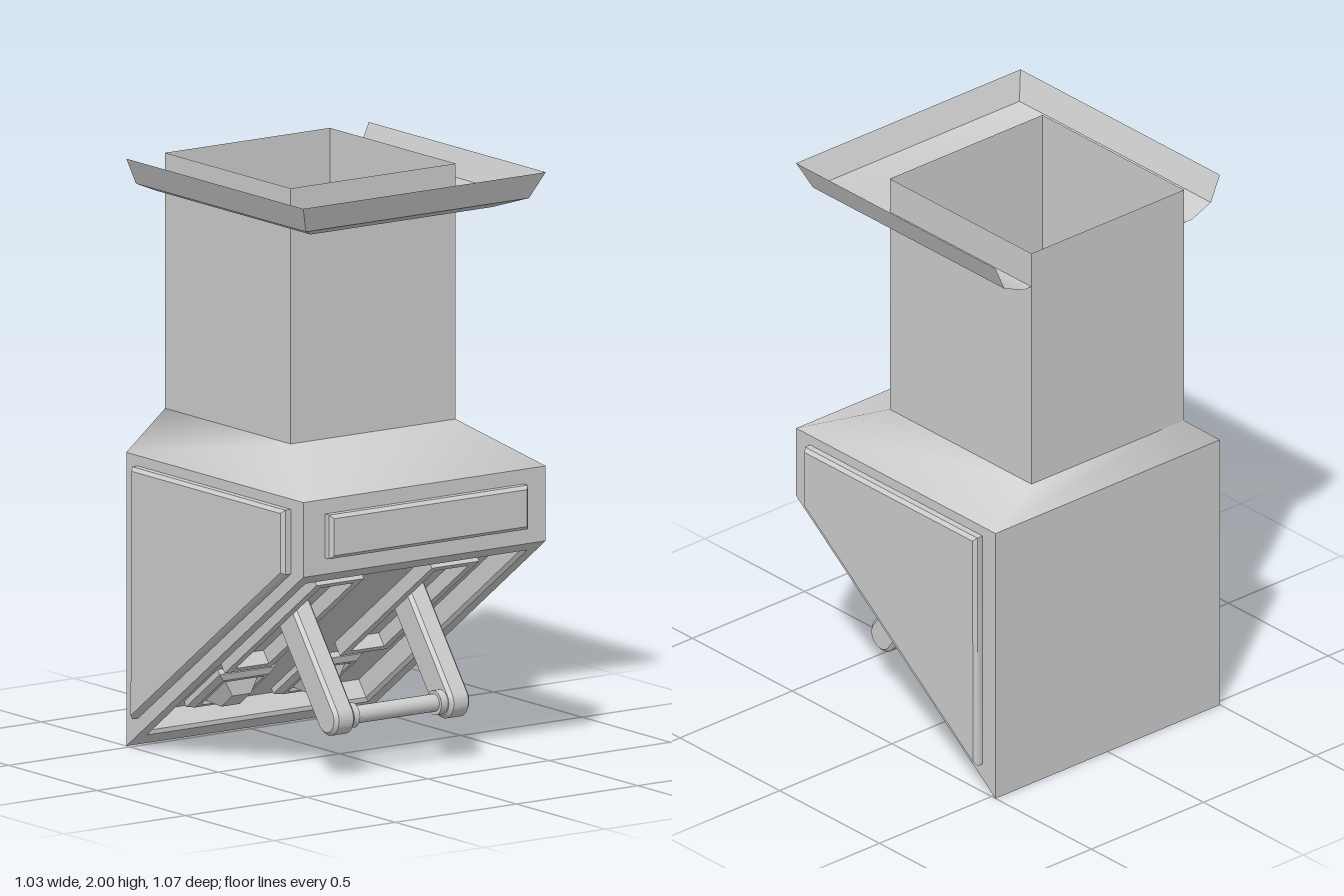
import * as THREE from 'three';
import { mergeVertices, toCreasedNormals } from 'three/addons/utils/BufferGeometryUtils.js';

const material = new THREE.MeshStandardMaterial({ color: 0xcccccc, side: THREE.DoubleSide });

function add(parent, name, geometry) {
  const mesh = new THREE.Mesh(geometry, material);
  mesh.name = name;
  parent.add(mesh);
  return mesh;
}

// Four corners of a rectangle in the xz plane at height y
const ring = (x0, x1, z0, z1, y) => [[x0, y, z1], [x1, y, z1], [x1, y, z0], [x0, y, z0]];

// Skin between successive four-point rings
function loft(rings, { closed = true, cap = false, smooth = false } = {}) {
  const pos = [];
  const quad = (a, b, c, d) => [a, b, c, a, c, d].forEach(p => pos.push(...p));
  for (let i = 0; i + 1 < rings.length; i++) {
    const lo = rings[i], hi = rings[i + 1];
    for (let k = 0; k < (closed ? 4 : 3); k++) {
      const n = (k + 1) % 4;
      quad(lo[k], lo[n], hi[n], hi[k]);
    }
  }
  if (cap) quad(...rings[rings.length - 1]);
  let geo = new THREE.BufferGeometry();
  geo.setAttribute('position', new THREE.Float32BufferAttribute(pos, 3));
  if (smooth) geo = mergeVertices(geo);
  geo.computeVertexNormals();
  return geo;
}

const polygon = points => new THREE.Shape(points.map(p => new THREE.Vector2(...p)));

// Bevelled plate that keeps its outline, starting at z = 0
function plate(shape, thickness, bevel) {
  const geo = new THREE.ExtrudeGeometry(shape, {
    depth: thickness - 2 * bevel, bevelThickness: bevel, bevelSize: bevel,
    bevelOffset: -bevel, bevelSegments: 1, curveSegments: 14,
  });
  geo.translate(0, 0, bevel);
  return toCreasedNormals(geo, 0.6);
}

export function createModel() {
  const model = new THREE.Group();
  const back = -0.52, front = 0.48, rise = 0.745;

  // Wedge body, shoulder and hollow column
  add(model, 'body', loft([
    [[back, 0, 0.5], [front, rise, 0.5], [front, rise, -0.5], [back, 0, -0.5]],
    ring(back, front, -0.5, 0.5, 1),
  ]));
  add(model, 'shoulder', loft([
    ring(back, front, -0.5, 0.5, 1), ring(back, 0.19, -0.34, 0.34, 1.13),
  ], { smooth: true }));
  add(model, 'column', loft([
    ring(back, 0.19, -0.34, 0.34, 1.13), ring(back, 0.19, -0.34, 0.34, 2),
  ]));

  // Gutter around three sides of the column top
  add(model, 'gutterFloor', loft([
    ring(back, 0.19, -0.34, 0.34, 1.875), ring(back, 0.35, -0.375, 0.375, 1.875),
    ring(back, 0.44, -0.46, 0.46, 1.91),
  ], { closed: false, smooth: true }));
  add(model, 'gutterRim', loft([
    ring(back, 0.44, -0.46, 0.46, 1.91), ring(back, front, -0.5, 0.5, 2),
  ], { closed: false }));

  // Raised panels on both sides and on the narrow end
  const sideShape = polygon([[-0.455, 0.105], [0.41, 0.745], [0.41, 0.965], [-0.455, 0.965]]);
  for (const side of [1, -1]) {
    const panel = add(model, 'sidePanel', plate(sideShape, 0.05, 0.012));
    panel.position.z = side * 0.485;
    panel.scale.z = side;
  }
  const endShape = polygon([[-0.41, 0.8], [0.41, 0.8], [0.41, 0.95], [-0.41, 0.95]]);
  const endPanel = add(model, 'endPanel', plate(endShape, 0.05, 0.012));
  endPanel.rotation.y = Math.PI / 2;
  endPanel.position.x = 0.465;

  // Sloping underside: local x runs up the slope, local y points into the body
  const under = new THREE.Group();
  under.name = 'underside';
  under.position.x = back;
  under.rotation.z = Math.atan(rise);
  model.add(under);
  const length = Math.hypot(1, rise), deep = 0.08;
  add(under, 'recess', loft([
    ring(0, length, -0.5, 0.5, 0), ring(0.07, 1.19, -0.457, 0.457, 0),
    ring(0.08, 1.18, -0.447, 0.447, 0.012), ring(0.08, 1.18, -0.447, 0.447, deep),
  ]));

  // Recess floor, open where the slot frames stand
  const rect = (x0, x1, z0, z1) => [[x0, z0], [x1, z0], [x1, z1], [x0, z1]];
  const floor = polygon(rect(0.08, 1.18, -0.447, 0.447));
  for (const [z0, z1] of [[0.14, 0.335], [-0.335, -0.14]]) {
    floor.holes.push(polygon(rect(0.434, 1.082, z0, z1)));
  }
  const floorGeo = new THREE.ShapeGeometry(floor);
  floorGeo.rotateX(Math.PI / 2);
  floorGeo.translate(0, deep, 0);
  add(under, 'recessFloor', floorGeo);

  // Lever outline with a rounded outer end
  const tip = 0.784, reach = -0.328, r = 0.058;
  const leverShape = new THREE.Shape();
  leverShape.moveTo(tip + r, 0.328);
  leverShape.lineTo(tip - r, 0.328);
  leverShape.lineTo(tip - r, reach);
  leverShape.absarc(tip, reach, r, Math.PI, Math.PI * 2, false);
  leverShape.closePath();

  for (const side of [1, -1]) {
    const at = (x0, x1, zc, zh, y) => ring(x0, x1, side * zc - zh, side * zc + zh, y);

    // Slot frame with its sunken bottom
    add(under, 'slotFrame', loft([
      at(0.434, 1.082, 0.2375, 0.0975, deep), at(0.434, 1.082, 0.2375, 0.0975, 0.03),
      at(0.462, 1.056, 0.2375, 0.068, 0.03), at(0.462, 1.056, 0.2375, 0.068, deep),
    ], { cap: true }));

    // Stepped stud with a blunt pyramid
    add(under, 'stud', loft([
      at(0.116, 0.353, 0.18, 0.115, deep), at(0.116, 0.353, 0.18, 0.115, 0.06),
      at(0.136, 0.333, 0.18, 0.095, 0.045), at(0.15, 0.319, 0.18, 0.081, 0.045),
      at(0.16, 0.309, 0.18, 0.071, 0.06), at(0.195, 0.274, 0.18, 0.038, 0.01),
    ], { cap: true }));

    const lever = add(under, 'lever', plate(leverShape, 0.084, 0.012));
    lever.position.z = side * 0.237 - 0.042;

    const collar = add(under, 'collar', new THREE.CylinderGeometry(0.042, 0.042, 0.035, 20));
    collar.rotation.x = Math.PI / 2;
    collar.position.set(tip, reach, side * 0.185);
  }

  // Handle bar joining the levers
  const bar = add(under, 'handleBar', new THREE.CylinderGeometry(0.03, 0.03, 0.42, 20));
  bar.rotation.x = Math.PI / 2;
  bar.position.set(tip, reach, 0);

  return model;
}
